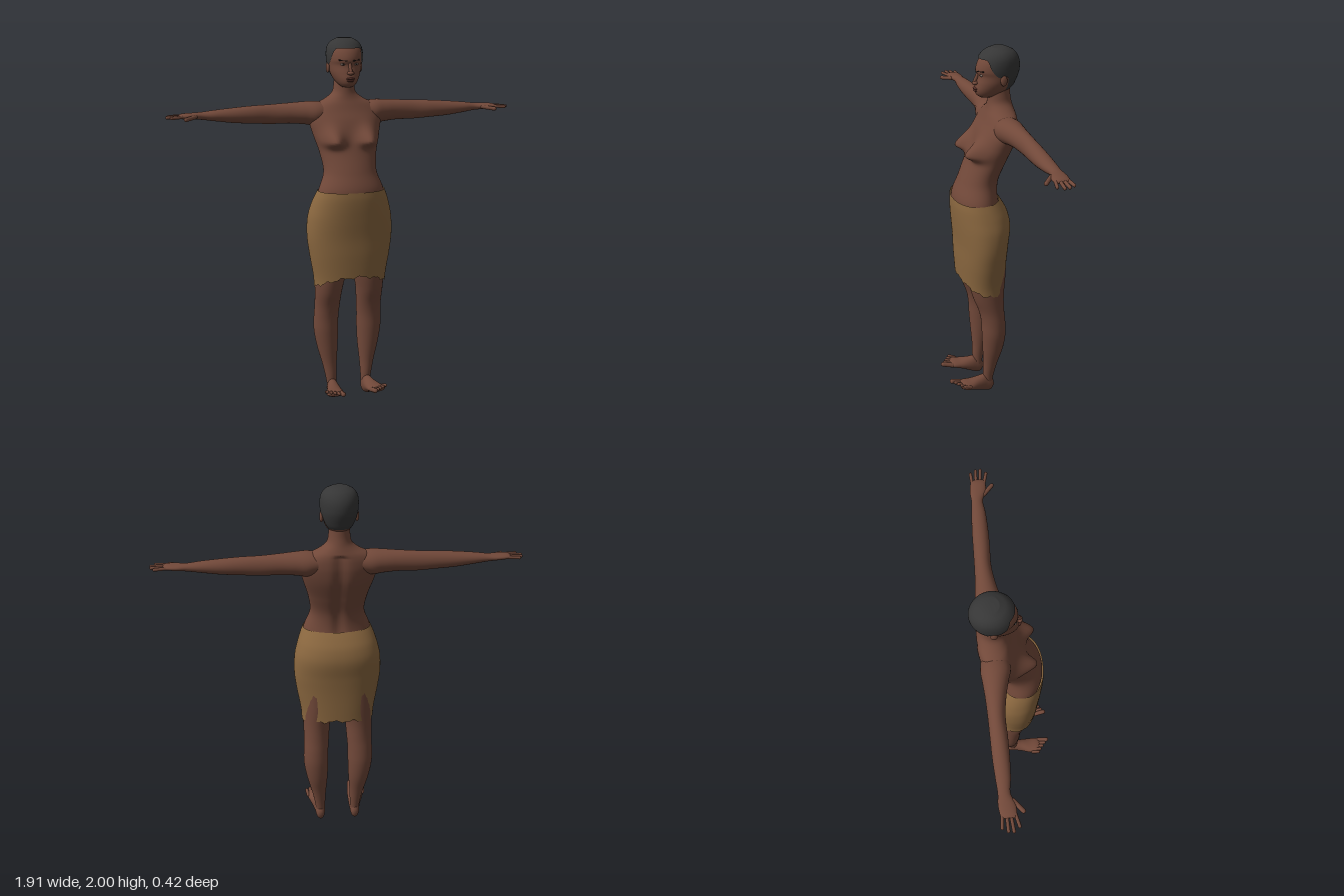
import * as THREE from 'three';

const paint = (name, color, side = THREE.FrontSide) => {
  const m = new THREE.MeshStandardMaterial({ color, side });
  m.name = name;
  return m;
};

// Smooth (Hermite) reading of a table of cross-sections at position s
function sample(rows, s) {
  const n = rows.length;
  let i = 0;
  while (i < n - 2 && s > rows[i + 1][0]) i++;
  const a = rows[i], b = rows[i + 1], o = rows[Math.max(i - 1, 0)], c = rows[Math.min(i + 2, n - 1)];
  const h = b[0] - a[0], t = THREE.MathUtils.clamp((s - a[0]) / h, 0, 1), t2 = t * t, t3 = t2 * t;
  return a.map((v, k) => {
    const m0 = (b[k] - o[k]) / (b[0] - o[0]) * h, m1 = (c[k] - v) / (c[0] - a[0]) * h;
    return (2 * t3 - 3 * t2 + 1) * v + (t3 - 2 * t2 + t) * m0 + (3 * t2 - 2 * t3) * b[k] + (t3 - t2) * m1;
  });
}

// Loft along an axis; each row is [s, pMin, pMax, qMin, qMax], (s, p, q) following x, y, z cyclically
function loft(rows, { axis = 1, side = 1, rings = 40, segs = 36, power = 1, start = null, capStart = true, capEnd = true, warp = null } = {}) {
  const pos = [], index = [], s0 = rows[0][0], s1 = rows[rows.length - 1][0];
  const bend = v => Math.sign(v) * Math.abs(v) ** power;
  const first = capStart ? -1 : 0, last = capEnd ? rings + 1 : rings;
  for (let i = first; i <= last; i++) {
    const k = i < 0 || i > rings ? 0 : 1, t = THREE.MathUtils.clamp(i / rings, 0, 1);
    for (let j = 0; j < segs; j++) {
      const a = j / segs * Math.PI * 2, from = start ? start(a) : s0;
      const s = from + (s1 - from) * t, r = sample(rows, s), v = [0, 0, 0];
      v[axis] = s;
      v[(axis + 1) % 3] = (r[1] + r[2]) / 2 + k * bend(Math.cos(a)) * (r[2] - r[1]) / 2;
      v[(axis + 2) % 3] = (r[3] + r[4]) / 2 + k * bend(Math.sin(a)) * (r[4] - r[3]) / 2;
      if (warp) warp(v, a);
      pos.push(v[0] * side, v[1], v[2]);
    }
  }
  for (let i = 0; i < last - first; i++) for (let j = 0; j < segs; j++) {
    const a = i * segs + j, b = i * segs + (j + 1) % segs, c = a + segs, d = b + segs;
    index.push(...(side > 0 ? [a, b, c, b, d, c] : [a, c, b, b, c, d]));
  }
  const g = new THREE.BufferGeometry();
  g.setAttribute('position', new THREE.Float32BufferAttribute(pos, 3));
  g.setIndex(index);
  g.computeVertexNormals();
  return g;
}

export function createModel() {
  const model = new THREE.Group();
  model.name = 'figure';
  const skin = paint('skin', 0x714839), cloth = paint('wrap cloth', 0x8a673f, THREE.DoubleSide);
  const hairMat = paint('hair', 0x363636, THREE.DoubleSide), lipMat = paint('lips', 0x5c342c);
  const white = paint('eye white', 0x9c8c82), dark = paint('eye dark', 0x1e1614);

  const add = (name, geo, mat) => {
    const m = new THREE.Mesh(geo, mat);
    m.name = name;
    model.add(m);
    return m;
  };
  const blob = (name, p, size, mat) => {
    const m = add(name, new THREE.SphereGeometry(1, 20, 14), mat);
    m.position.set(...p);
    m.scale.set(...size);
    return m;
  };
  // Rounded rod between two points
  const rod = (name, a, b, r, mat) => {
    const A = new THREE.Vector3(...a), B = new THREE.Vector3(...b), d = B.clone().sub(A);
    const m = add(name, new THREE.CapsuleGeometry(r, d.length(), 5, 10), mat);
    m.position.copy(A).add(B).multiplyScalar(0.5);
    m.quaternion.setFromUnitVectors(new THREE.Vector3(0, 1, 0), d.normalize());
  };

  // Torso and neck, with breasts and spine groove raised from the surface
  const torso = [
    [1.10, -.12, .135, -.19, .19], [1.20, -.088, .148, -.18, .18], [1.30, -.092, .115, -.146, .146],
    [1.40, -.13, .076, -.157, .157], [1.50, -.17, .04, -.185, .185], [1.57, -.185, .015, -.2, .2],
    [1.62, -.187, -.01, -.19, .19], [1.655, -.184, -.025, -.155, .155], [1.68, -.178, -.035, -.105, .105],
    [1.71, -.17, -.042, -.067, .067], [1.75, -.163, -.045, -.056, .056], [1.82, -.16, -.045, -.052, .052]];
  add('torso', loft(torso, {
    rings: 80, segs: 72, warp: (v, a) => {
      const [x, y] = v, c = Math.cos(a);
      if (c > 0) {
        const dy = (y - 1.465) / (y > 1.465 ? .065 : .03), dx = (Math.abs(x) - .098) / .05;
        v[2] += .074 * Math.exp(-dx * dx - dy * dy) * Math.min(1, c * 2.5);
      } else if (y < 1.65) v[2] += .014 * Math.exp(-((x / .03) ** 2));
    }
  }), skin);

  // Wrapped skirt with a ragged hem
  const skirt = [
    [.64, -.125, .125, -.198, .198], [.72, -.127, .129, -.202, .202], [.85, -.132, .136, -.224, .224],
    [.95, -.14, .139, -.236, .236], [1.05, -.151, .148, -.232, .232], [1.12, -.138, .154, -.215, .215],
    [1.17, -.112, .156, -.198, .198], [1.205, -.09, .154, -.183, .183]];
  add('skirt', loft(skirt, {
    rings: 40, segs: 96, power: .92, capStart: false, capEnd: false,
    start: a => .692 + .0225 * Math.cos(a) + .021 * Math.cos(2 * a) + .006 * Math.sin(13 * a) + .004 * Math.sin(29 * a)
  }), cloth);

  // Head, and a close-cropped hair shell over the same cross-sections
  const head = [
    [1.745, -.07, 0, -.028, .028], [1.76, -.12, .019, -.046, .046], [1.785, -.165, .026, -.064, .064],
    [1.82, -.185, .02, -.079, .079], [1.86, -.2, .012, -.087, .087], [1.885, -.204, .019, -.09, .09],
    [1.92, -.202, .011, -.09, .09], [1.95, -.19, -.007, -.083, .083], [1.975, -.167, -.034, -.064, .064],
    [1.992, -.13, -.072, -.032, .032]];
  add('head', loft(head, { rings: 50, segs: 48 }), skin);
  const shell = head.map(([y, b, f, l, r]) => [y + .008, b - .007, f + .005, l - .007, r + .007]);
  const step = THREE.MathUtils.smoothstep;
  add('hair', loft(shell, {
    rings: 24, segs: 64, capStart: false, start: a => {
      const t = Math.min(a, Math.PI * 2 - a);
      return 1.948 - .085 * step(t, .7, 1.4) - .08 * step(t, 1.8, 2.2);
    }
  }), hairMat);

  // Nose and mouth
  rod('noseBridge', [0, 1.868, .009], [0, 1.827, .028], .009, skin);
  blob('noseTip', [0, 1.821, .025], [.019, .011, .016], skin);
  blob('upperLip', [0, 1.792, .023], [.023, .006, .012], lipMat);
  blob('lowerLip', [0, 1.781, .022], [.02, .006, .012], lipMat);

  const arm = [
    [.08, 1.565, 1.655, -.165, -.045], [.16, 1.537, 1.668, -.178, -.03], [.22, 1.545, 1.667, -.173, -.045],
    [.3, 1.552, 1.662, -.166, -.064], [.4, 1.552, 1.656, -.162, -.077], [.5, 1.558, 1.652, -.16, -.075],
    [.6, 1.565, 1.645, -.158, -.075], [.7, 1.578, 1.636, -.152, -.08], [.77, 1.588, 1.628, -.147, -.088],
    [.82, 1.592, 1.626, -.151, -.07], [.87, 1.596, 1.624, -.145, -.066], [.888, 1.602, 1.618, -.138, -.072]];
  const leg = [
    [.05, -.04, .005, .075, .122], [.12, -.052, .012, .072, .133], [.2, -.07, .012, .068, .15],
    [.3, -.098, .018, .06, .176], [.4, -.11, .024, .056, .193], [.48, -.107, .028, .055, .193],
    [.55, -.101, .042, .05, .19], [.64, -.1, .075, .042, .192], [.75, -.11, .1, .022, .195], [.95, -.12, .11, .005, .2]];
  const foot = [
    [-.05, .088, .113, .03, .065], [-.035, .077, .124, .006, .09], [0, .072, .131, .008, .115],
    [.04, .07, .142, .024, .11], [.09, .07, .16, .045, .103], [.13, .071, .168, .06, .102], [.152, .078, .16, .07, .097]];
  // Fingers: base x, base z, tip x, tip z
  const fingers = [[.86, -.077, .928, -.06], [.87, -.096, .949, -.088], [.87, -.115, .946, -.113], [.86, -.134, .93, -.14]];

  for (const [side, label] of [[1, 'left'], [-1, 'right']]) {
    add(label + 'Arm', loft(arm, { axis: 0, side, rings: 60, segs: 32 }), skin);
    fingers.forEach(([x0, z0, x1, z1], i) =>
      rod(`${label}Finger${i + 1}`, [side * x0, 1.61, z0], [side * x1, 1.607, z1], .0085, skin));
    rod(label + 'Thumb', [side * .805, 1.607, -.08], [side * .858, 1.6, -.036], .011, skin);

    add(label + 'Leg', loft(leg, { side, rings: 50, segs: 32 }), skin);
    add(label + 'Foot', loft(foot, { axis: 2, side, rings: 30, segs: 28 }), skin);
    for (let i = 0; i < 5; i++)
      rod(`${label}Toe${i + 1}`, [side * (.086 + .019 * i), .083, .14 - .009 * i],
        [side * (.092 + .019 * i), .097, .195 - .014 * i], i ? .0095 : .0135, skin);

    // Ear, eye and brow
    blob(label + 'Ear', [side * .09, 1.845, -.1], [.01, .029, .018], skin);
    blob(label + 'Eye', [side * .035, 1.866, .003], [.014, .006, .006], white);
    blob(label + 'Iris', [side * .035, 1.866, .0065], [.006, .0055, .004], dark);
    rod(label + 'Brow', [side * .018, 1.884, .016], [side * .054, 1.888, -.004], .0035, dark);
  }
  return model;
}
